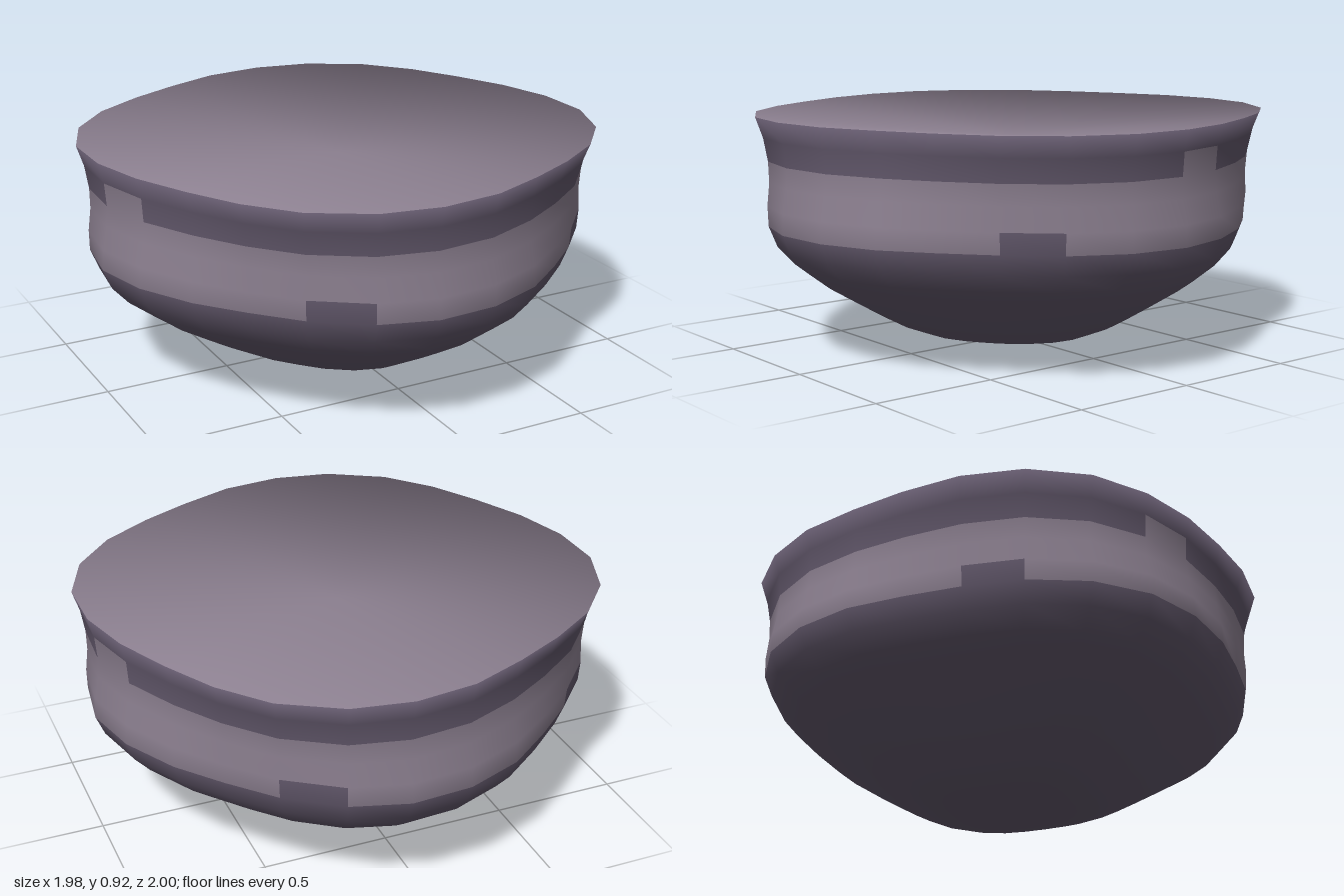
import * as THREE from 'three';

// Half of the lopsided rim outline [x, z]; the other half is its 180-degree turn.
const HALF = [
  [0.12, -1], [0.35, -0.96], [0.57, -0.83], [0.72, -0.65], [0.83, -0.45], [0.93, -0.23], [0.99, 0],
  [0.99, 0.24], [0.9, 0.47], [0.74, 0.65], [0.54, 0.78], [0.34, 0.88], [0.12, 0.97],
];
// Profile from the rim down to the base: [height, scale of the outline].
const PROFILE = [
  [0.92, 1], [0.84, 0.975], [0.75, 0.962], [0.67, 0.962], [0.58, 0.974], [0.5, 0.974], [0.42, 0.942],
  [0.35, 0.88], [0.28, 0.79], [0.2, 0.66], [0.14, 0.56], [0.09, 0.47], [0.05, 0.37], [0.02, 0.25], [0.006, 0.12],
];
const N = HALF.length * 2;

export function createModel() {
  const outline = [...HALF, ...HALF.map(([x, z]) => [-x, -z])];
  const radii = outline.map(([x, z]) => Math.hypot(x, z));
  const positions = [];

  // Rings: the bulges drift round by one sector between the rim and the belly.
  for (const [y, scale] of PROFILE) {
    const drift = Math.min(1, (0.92 - y) / 0.42);
    outline.forEach(([x, z], i) => {
      const r = THREE.MathUtils.lerp(radii[i], radii[(i + 1) % N], drift) * scale;
      positions.push(x / radii[i] * r, y, z / radii[i] * r);
    });
  }
  // Centres of the shallow dished top and of the base
  const topCentre = PROFILE.length * N;
  const baseCentre = topCentre + 1;
  positions.push(0, 0.82, 0, 0, 0, 0);

  // Faces sorted by part
  const faces = { topFace: [], upperBand: [], middleBand: [], lowerBowl: [] };
  for (let i = 0; i < N; i++) {
    const j = (i + 1) % N;
    const k = i % HALF.length;
    faces.topFace.push(topCentre, j, i);
    for (let row = 0; row < PROFILE.length - 1; row++) {
      let part = row < 2 ? 'upperBand' : row < 5 ? 'middleBand' : 'lowerBowl';
      if (row === 1 && k === 5) part = 'middleBand'; // pale notches
      if (row === 4 && (k === 1 || k === 8)) part = 'lowerBowl'; // dark notches
      const a = row * N + i, b = row * N + j;
      faces[part].push(a, b, a + N, b, b + N, a + N);
    }
    const last = (PROFILE.length - 1) * N;
    faces.lowerBowl.push(last + i, last + j, baseCentre);
  }

  // Smooth normals shared by all parts; the rim normals lean halfway outward.
  const body = new THREE.BufferGeometry();
  body.setAttribute('position', new THREE.Float32BufferAttribute(positions, 3));
  body.setIndex(Object.values(faces).flat());
  body.computeVertexNormals();
  const n = new THREE.Vector3();
  outline.forEach(([x, z], i) => {
    n.set(x, 0.92, z).normalize();
    body.attributes.normal.setXYZ(i, n.x, n.y, n.z);
  });

  const pale = new THREE.MeshStandardMaterial({ color: 0x8b7f8f });
  const dark = new THREE.MeshStandardMaterial({ color: 0x61576a });
  const group = new THREE.Group();
  group.name = 'roundedBowlBlock';
  for (const [name, index] of Object.entries(faces)) {
    const geometry = new THREE.BufferGeometry();
    geometry.setAttribute('position', body.attributes.position);
    geometry.setAttribute('normal', body.attributes.normal);
    geometry.setIndex(index);
    const mesh = new THREE.Mesh(geometry, name === 'topFace' || name === 'middleBand' ? pale : dark);
    mesh.name = name;
    group.add(mesh);
  }
  return group;
}
